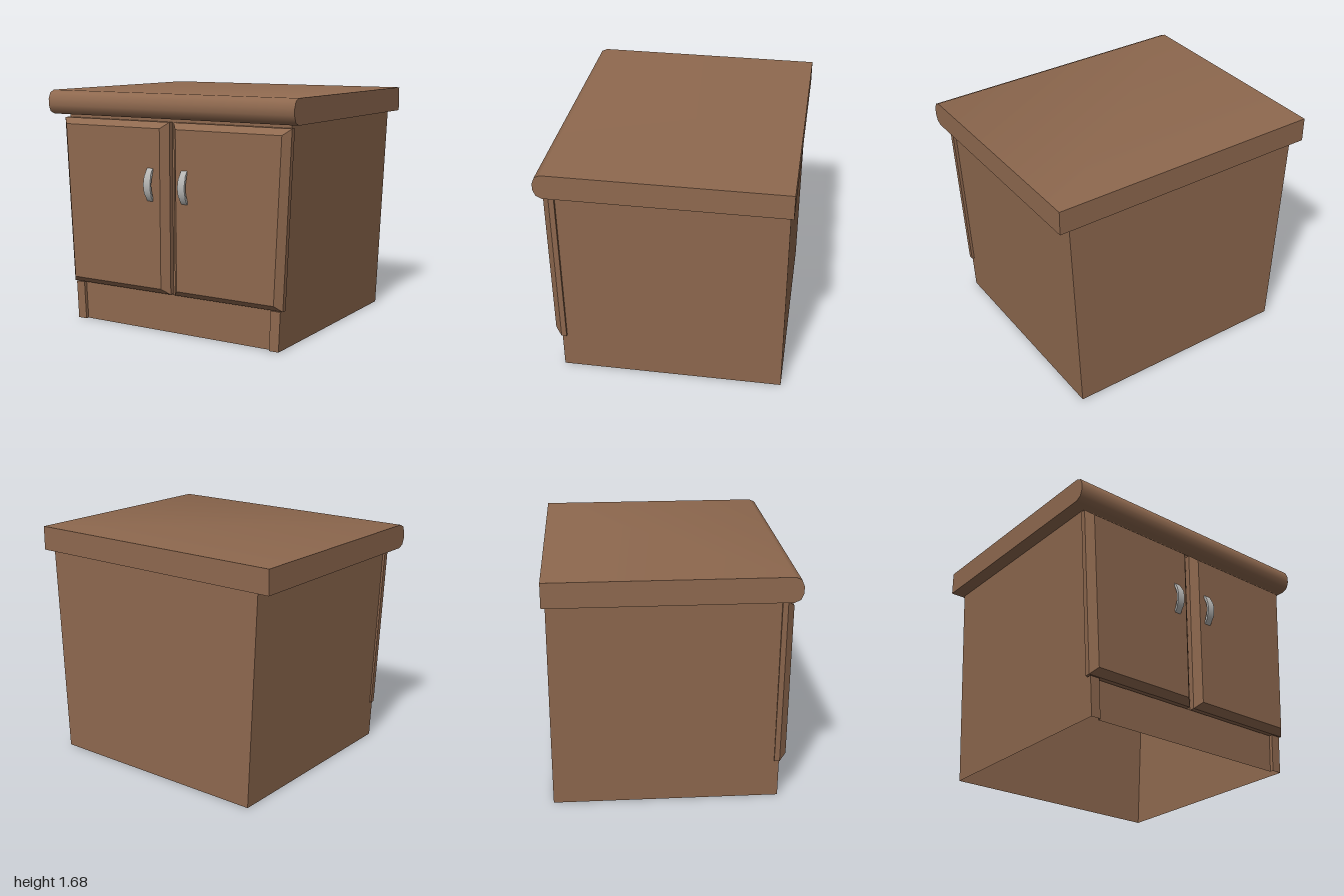
import * as THREE from 'three';
import { toCreasedNormals } from 'three/addons/utils/BufferGeometryUtils.js';

// Skins a list of equal rings (outward when rings turn anticlockwise about the loft direction)
function loft(rings, capped = false) {
  const pos = [];
  const quad = (a, b, c, d) => [a, b, c, a, c, d].forEach((p) => pos.push(...p));
  for (let r = 0; r < rings.length - 1; r++) {
    const lo = rings[r], hi = rings[r + 1], n = lo.length;
    for (let i = 0; i < n; i++) {
      const j = (i + 1) % n;
      quad(lo[i], lo[j], hi[j], hi[i]);
    }
  }
  if (capped) {
    const f = rings[rings.length - 1], b = rings[0];
    quad(f[0], f[1], f[2], f[3]);
    quad(b[3], b[2], b[1], b[0]);
  }
  const g = new THREE.BufferGeometry();
  g.setAttribute('position', new THREE.Float32BufferAttribute(pos, 3));
  g.computeVertexNormals();
  return g;
}

export function createModel() {
  const group = new THREE.Group();
  const wood = new THREE.MeshStandardMaterial({ color: 0x8f694f, side: THREE.DoubleSide });
  wood.name = 'brownWood';
  const metal = new THREE.MeshStandardMaterial({ color: 0xb8b8b6 });
  metal.name = 'silverMetal';
  const add = (name, geometry, material, parent = group) => {
    const mesh = new THREE.Mesh(geometry, material);
    mesh.name = name;
    parent.add(mesh);
    return mesh;
  };

  // Carcass: hollow, open below, flaring outwards towards the top
  const BACK = -0.825, FRONT = 0.72, PLINTH = 0.73, FOOT = 0.755, STEP = 0.275, TOP = 1.506;
  const rightX = (y) => -0.833 - 0.045 * y;
  const leftX = (y) => 0.853 + 0.045 * y;
  const upperRing = (y) => [
    [rightX(y), y, FRONT], [leftX(y), y, FRONT], [leftX(y), y, BACK], [rightX(y), y, BACK],
  ];
  add('cabinetBody', loft([upperRing(STEP), upperRing(TOP)]), wood);

  // Base: two front feet with the plinth set back between them
  const baseRing = (y) => {
    const r = rightX(y), l = leftX(y);
    return [
      [r, y, FOOT], [r + 0.07, y, FOOT], [r + 0.07, y, PLINTH], [l - 0.072, y, PLINTH],
      [l - 0.072, y, FOOT], [l, y, FOOT], [l, y, BACK], [r, y, BACK],
    ];
  };
  add('plinthAndFeet', loft([baseRing(0), baseRing(STEP)]), wood);

  // Ledge closing the step between the base and the front of the carcass
  const r = rightX(STEP), l = leftX(STEP);
  [[r, r + 0.07, FOOT], [r + 0.07, l - 0.072, PLINTH], [l - 0.072, l, FOOT]].forEach(([x0, x1, z]) => {
    const ledge = new THREE.PlaneGeometry(x1 - x0, z - FRONT).rotateX(-Math.PI / 2);
    add('baseLedge', ledge, wood).position.set((x0 + x1) / 2, STEP, (z + FRONT) / 2);
  });

  // Worktop with a rounded front nose
  const profile = new THREE.Shape([
    [-0.847, 1.506], [0.78, 1.506], [0.82, 1.526], [0.838, 1.57],
    [0.838, 1.615], [0.82, 1.66], [0.78, 1.678], [-0.847, 1.678],
  ].map(([z, y]) => new THREE.Vector2(z, y)));
  const top = new THREE.ExtrudeGeometry(profile, { depth: 2, bevelEnabled: false });
  top.translate(0, 0, -1).rotateY(-Math.PI / 2);
  add('worktop', toCreasedNormals(top, 0.85), wood);

  // Doors: slanted outer edge, bevelled border and raised centre
  const doorRing = (z, y0, y1, [a0, a1], [b0, b1]) => [
    [a0, y0, z], [b0, y0, z], [b1, y1, z], [a1, y1, z],
  ];
  const door = (name, a, b, aIn, bIn) => add(name, loft([
    doorRing(FRONT, 0.28, 1.482, a, b),
    doorRing(0.757, 0.28, 1.482, a, b),
    doorRing(0.805, 0.322, 1.44, aIn, bIn),
  ], true), wood);
  // each pair gives x at the bottom and at the top of an edge
  door('rightDoor', [-0.858, -0.916], [-0.003, -0.003], [-0.815, -0.868], [-0.053, -0.053]);
  door('leftDoor', [0.032, 0.032], [0.885, 0.941], [0.078, 0.078], [0.841, 0.893]);

  // Bowed handles
  const R = 0.175, T = 0.016, HALF = 0.72, W = 0.056;
  const bow = new THREE.Shape();
  bow.absarc(0, 0, R, -HALF, HALF, false);
  bow.absarc(0, 0, R - T, HALF, -HALF, true);
  const handle = new THREE.ExtrudeGeometry(bow, { depth: W, bevelEnabled: false, curveSegments: 10 });
  handle.translate(0, 0, -W / 2).rotateY(-Math.PI / 2);
  // narrow the handle slightly towards its ends
  const p = handle.attributes.position;
  for (let i = 0; i < p.count; i++) {
    if (Math.abs(p.getY(i)) > 0.07) p.setX(i, p.getX(i) * 0.86);
  }
  const handleGeometry = toCreasedNormals(handle, 0.6);
  [['rightHandle', -0.134], ['leftHandle', 0.148]].forEach(([name, x]) => {
    add(name, handleGeometry, metal).position.set(x, 1.05, 0.673);
  });

  return group;
}
